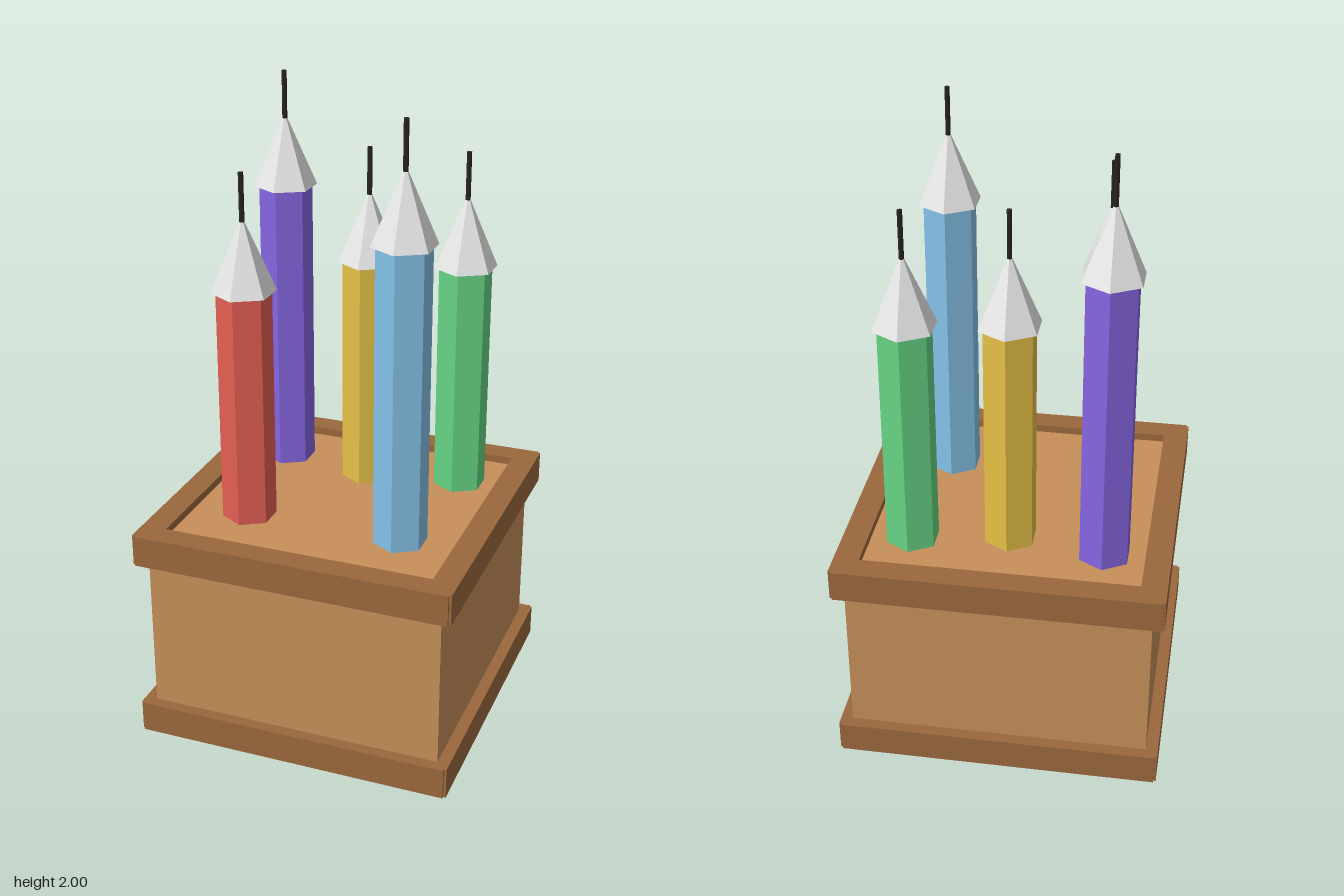
import * as THREE from 'three';

const material = (name, color) => {
  const m = new THREE.MeshStandardMaterial({ color });
  m.name = name;
  return m;
};

export function createModel() {
  const model = new THREE.Group();
  model.name = 'pencilBox';

  const wood = material('light wood', 0xc68f59);
  const trim = material('dark wood', 0x9b683d);
  const tipGrey = material('tip grey', 0xe6e6e6);
  const leadBlack = material('lead black', 0x2a2222);

  const add = (parent, name, geometry, mat, x, y, z) => {
    const mesh = new THREE.Mesh(geometry, mat);
    mesh.name = name;
    mesh.position.set(x, y, z);
    parent.add(mesh);
    return mesh;
  };

  // Box body, its top and bottom set back slightly inside the rims
  add(model, 'boxBody', new THREE.BoxGeometry(0.95, 0.658, 0.95), wood, 0, 0.354, 0);

  // Each rim is four boards crossing at the corners
  const board = new THREE.BoxGeometry(1.01, 0.101, 0.08);
  for (const [name, y] of [['bottomRim', 0.0505], ['topRim', 0.6575]]) {
    const rim = new THREE.Group();
    rim.name = name;
    rim.position.y = y;
    for (let i = 0; i < 4; i++) {
      const a = (i * Math.PI) / 2;
      const b = add(rim, 'rimBoard', board, trim, Math.sin(a) * 0.473, 0, Math.cos(a) * 0.473);
      b.rotation.y = a;
    }
    model.add(rim);
  }

  // Six-sided solids with flat faces
  const hexagon = (top, bottom, height) => {
    const flat = new THREE.CylinderGeometry(top, bottom, height, 6).toNonIndexed();
    flat.computeVertexNormals();
    return flat;
  };
  const tip = hexagon(0, 0.101, 0.235);
  const lead = hexagon(0.008, 0.008, 0.16);

  // Pencils: name, colour, x, z, height of the shaft top
  const pencils = [
    ['red', 0xe45e54, -0.2525, 0.202, 1.431],
    ['blue', 0x86c4ea, 0.2525, 0.202, 1.633],
    ['purple', 0x8566e2, -0.303, -0.2525, 1.633],
    ['yellow', 0xe6c046, 0, -0.202, 1.431],
    ['green', 0x66d584, 0.303, -0.2525, 1.431],
  ];
  const base = 0.66;
  for (const [name, color, x, z, top] of pencils) {
    const pencil = new THREE.Group();
    pencil.name = name + 'Pencil';
    pencil.position.set(x, 0, z);
    const shaft = hexagon(0.0855, 0.0855, top - base);
    add(pencil, 'shaft', shaft, material(name, color), 0, (top + base) / 2, 0);
    add(pencil, 'tip', tip, tipGrey, 0, top + 0.1175, 0);
    add(pencil, 'lead', lead, leadBlack, 0, top + 0.287, 0);
    model.add(pencil);
  }

  return model;
}
